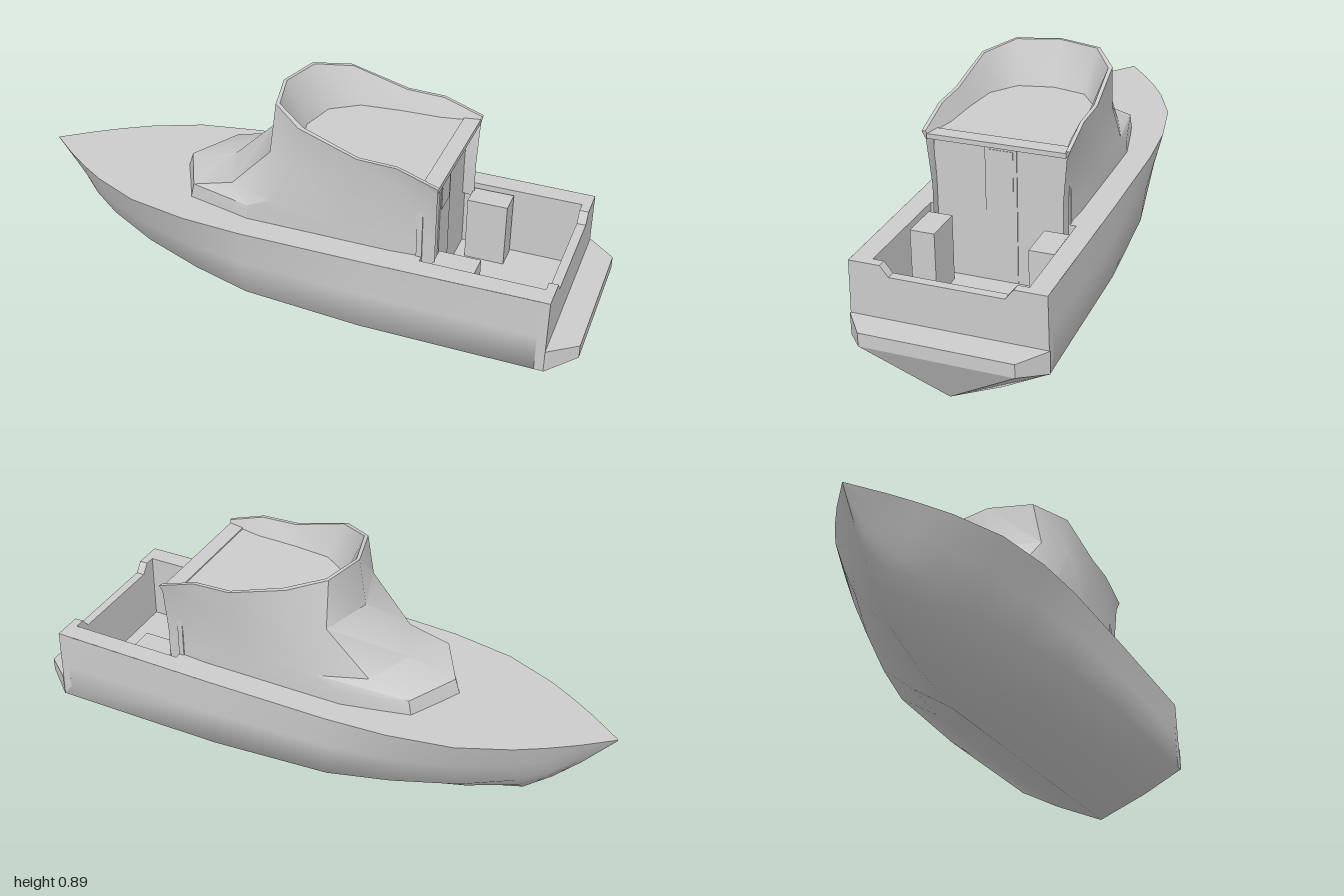
import * as THREE from 'three';
import { toCreasedNormals } from 'three/addons/utils/BufferGeometryUtils.js';
import { ConvexGeometry } from 'three/addons/geometries/ConvexGeometry.js';

const material = new THREE.MeshStandardMaterial({ color: 0xcccccc, side: THREE.DoubleSide });

// Skin between rows of [x, y, z] points
function loft(rows, crease) {
  const n = rows[0].length, index = [];
  for (let i = 0; i < rows.length - 1; i++) {
    for (let j = 0; j < n - 1; j++) {
      const a = i * n + j, b = a + 1, c = a + n, d = c + 1;
      index.push(a, b, c, b, d, c);
    }
  }
  const g = new THREE.BufferGeometry();
  g.setAttribute('position', new THREE.Float32BufferAttribute(rows.flat(2), 3));
  g.setIndex(index);
  g.computeVertexNormals();
  return crease ? toCreasedNormals(g, crease) : g;
}

// Half row, starting on the centreline, to a full port-to-starboard row
const mirror = (half) => [...half.slice(1).reverse().map(([x, y, z]) => [-x, y, z]), ...half];

// Flat horizontal panel from [x, z] points
function panel(points, y) {
  const g = new THREE.ShapeGeometry(new THREE.Shape(points.map(([x, z]) => new THREE.Vector2(x, -z))));
  return g.rotateX(-Math.PI / 2).translate(0, y, 0);
}

export function createModel() {
  const boat = new THREE.Group();
  boat.name = 'boat';
  const add = (name, geometry) => {
    const mesh = new THREE.Mesh(geometry, material);
    mesh.name = name;
    boat.add(mesh);
  };
  const box = (name, w, h, d, x, y, z) => add(name, new THREE.BoxGeometry(w, h, d).translate(x, y, z));
  const SHEER = 0.445, FLOOR = 0.18, STERN = 0.863, BULKHEAD = 0.39;

  // Hull stations: z, keel y, chine half width, chine y, sheer half width
  const stations = [
    [-1.19, 0.44, 0, 0.442, 0.002],
    [-1.08, 0.3, 0.03, 0.345, 0.088],
    [-0.99, 0.2, 0.08, 0.28, 0.15],
    [-0.89, 0.11, 0.125, 0.24, 0.21],
    [-0.707, 0.05, 0.19, 0.2, 0.29],
    [-0.476, 0, 0.26, 0.18, 0.333],
    [-0.25, 0, 0.315, 0.17, 0.347],
    [0.2, 0, 0.345, 0.165, 0.348],
    [STERN, 0, 0.348, 0.165, 0.342],
  ];
  add('hull', loft(stations.map(([z, yk, hc, yc, hs]) => mirror([
    [0, yk, z],
    [hc * 0.55, yk + (yc - yk) * 0.5, z],
    [hc, yc, z],
    [hc + (hs - hc) * 0.55, (yc + SHEER) / 2, z],
    [hs, SHEER, z],
  ]))));

  // Deck, open around the cockpit
  const edge = stations.map(([z, , , , h]) => [h, z]);
  edge[edge.length - 1] = [0.342, 0.83];
  const deckHalf = [...edge, [0.27, 0.83], [0.27, BULKHEAD]];
  add('deck', panel([...deckHalf, ...deckHalf.map(([x, z]) => [-x, z]).reverse()], SHEER));

  // Transom with its lowered middle
  const transom = new THREE.Shape([
    [0, 0], [0.348, 0.165], [0.342, SHEER], [0.23, SHEER], [0.2, 0.407],
    [-0.2, 0.407], [-0.23, SHEER], [-0.342, SHEER], [-0.348, 0.165],
  ].map(([x, y]) => new THREE.Vector2(x, y)));
  add('transom', new THREE.ExtrudeGeometry(transom, { depth: 0.033, bevelEnabled: false }).translate(0, 0, 0.83));

  // Wedge-shaped stern platform
  const wedge = [new THREE.Vector3(0, 0, STERN)];
  for (const s of [-1, 1]) {
    wedge.push(
      new THREE.Vector3(s * 0.35, 0.165, STERN), new THREE.Vector3(s * 0.35, 0.25, STERN),
      new THREE.Vector3(s * 0.27, 0.195, 0.964), new THREE.Vector3(s * 0.27, 0.245, 0.964),
    );
  }
  add('sternPlatform', new ConvexGeometry(wedge));

  // Cockpit liner and the two step boxes beside the cabin
  add('cockpitLiner', loft([BULKHEAD, 0.83].map((z) => [
    [-0.27, SHEER, z], [-0.27, FLOOR, z], [0.27, FLOOR, z], [0.27, SHEER, z],
  ]), 0.5));
  for (const s of [-1, 1]) box('cockpitStep', 0.09, 0.25, 0.15, s * 0.215, 0.305, 0.505);

  // Cabin walls, from the coaming rim down over the windscreen to the foredeck trunk
  const level = (y, points) => points.map(([x, z]) => [x, y, z]);
  const rim = [
    [0, 0.888, -0.215], [0.164, 0.885, -0.174], [0.25, 0.86, -0.055],
    [0.265, 0.795, 0.16], [0.265, 0.79, 0.3], [0.265, 0.74, 0.445],
  ];
  const sides = [[0.25, 0.12], [0.25, 0.28], [0.238, 0.435]];
  const walls = [
    rim,
    level(0.71, [[0, -0.245], [0.2, -0.186], [0.25, -0.06], [0.257, 0.15], [0.257, 0.3], [0.253, 0.44]]),
    level(0.54, [[0, -0.42], [0.186, -0.346], [0.248, -0.18], ...sides]),
    level(0.5, [[0, -0.6], [0.19, -0.5], [0.248, -0.26], ...sides]),
    level(0.41, [[0, -0.63], [0.195, -0.52], [0.25, -0.27], ...sides]),
  ];
  add('cabinWalls', loft(walls.map(mirror), 0.6));

  // Upper helm well: sloping inner coaming and floor
  const well = [[0, -0.13], [0.13, -0.1], [0.2, 0], [0.215, 0.15], [0.22, 0.3], [0.245, 0.435]];
  const inset = rim.map(([x, y, z], i) => [x * 0.95, y, z + (i < 3 ? 0.012 : 0)]);
  add('coamingRim', loft([inset, rim].map(mirror)));
  add('innerCoaming', loft([level(0.725, well), inset].map(mirror)));
  add('helmFloor', panel([...well, ...well.slice(1).map(([x, z]) => [-x, z]).reverse()], 0.725));
  box('roofLip', 0.5, 0.018, 0.06, 0, 0.721, 0.41);

  // Aft bulkhead with door and window
  box('bulkhead', 0.495, 0.3, 0.02, 0, 0.57, BULKHEAD - 0.01);
  box('lowerBulkhead', 0.54, 0.265, 0.02, 0, 0.3125, BULKHEAD - 0.01);
  box('cabinDoor', 0.116, 0.51, 0.006, 0, 0.44, BULKHEAD + 0.001);
  box('doorWindow', 0.09, 0.17, 0.004, 0, 0.6, BULKHEAD + 0.004);

  // The boat lies diagonally
  boat.rotation.y = Math.PI / 6;
  boat.position.set(-0.056, 0, 0.0325);
  const model = new THREE.Group();
  model.name = 'cabinBoat';
  model.add(boat);
  return model;
}
